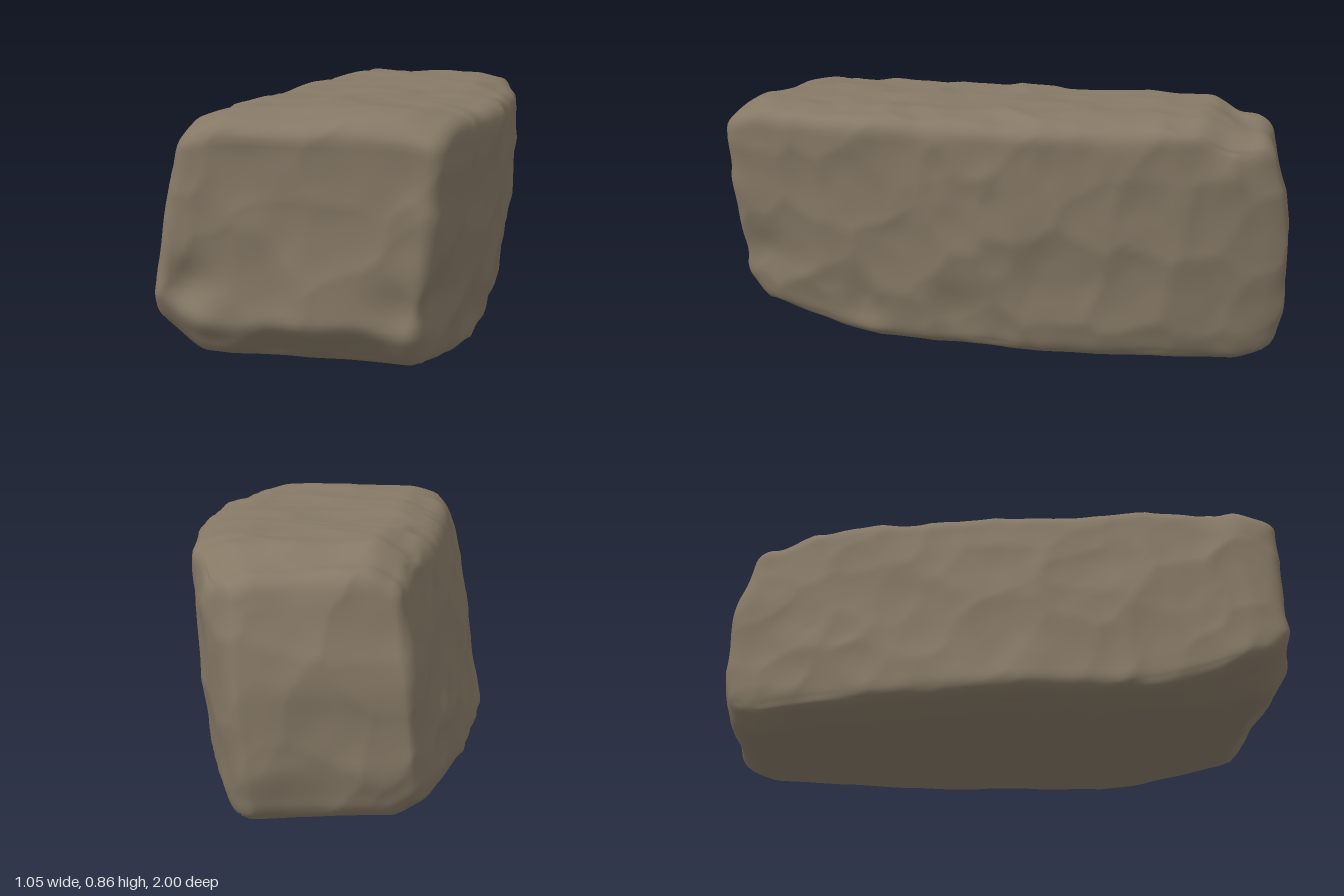
import * as THREE from 'three';
import { mergeVertices } from 'three/addons/utils/BufferGeometryUtils.js';

const SIZE = new THREE.Vector3(1.05, 0.835, 1.99);

// Side outlines along the length: z, left foot, left rim, right foot, right rim
const OUTLINE = [
  [-1.0, -0.29, -0.22, 0.23, 0.29],
  [-0.85, -0.335, -0.25, 0.29, 0.38],
  [-0.65, -0.39, -0.28, 0.35, 0.445],
  [-0.35, -0.465, -0.33, 0.40, 0.475],
  [-0.1, -0.52, -0.365, 0.425, 0.515],
  [0.1, -0.545, -0.38, 0.425, 0.505],
  [0.4, -0.55, -0.40, 0.41, 0.495],
  [0.6, -0.55, -0.415, 0.37, 0.465],
  [0.85, -0.55, -0.42, 0.33, 0.41],
  [1.0, -0.52, -0.40, 0.30, 0.38],
];

// Hollows (and bosses, with negative depth): x, y, z, radius, depth
const CHIPS = [
  [-0.41, 0.31, 1.0, 0.1, 0.04],
  [-0.34, 0.2, 1.0, 0.09, -0.015],
  [0.26, 0.26, 1.0, 0.1, 0.02],
  [0.35, 0.27, 0.86, 0.13, 0.025],
  [0.39, 0.12, 0.45, 0.1, 0.03],
  [0.41, 0.13, 0.1, 0.12, 0.025],
  [0.38, 0.8, -0.8, 0.1, 0.035],
  [0.25, 0.85, 0.35, 0.09, 0.02],
  [-0.44, 0.8, 0.8, 0.1, 0.025],
  [-0.28, 0.8, -0.7, 0.1, 0.02],
];

const { lerp, smoothstep, clamp } = THREE.MathUtils;

function outlineAt(z) {
  let i = 0;
  while (i < OUTLINE.length - 2 && z > OUTLINE[i + 1][0]) i++;
  const a = OUTLINE[i], b = OUTLINE[i + 1];
  const k = clamp((z - a[0]) / (b[0] - a[0]), 0, 1);
  return a.map((v, j) => lerp(v, b[j], k));
}

// Repeatable lattice noise in -1..1
function hash(x, y, z) {
  let h = Math.imul(x, 374761393) ^ Math.imul(y, 668265263) ^ Math.imul(z, 1274126177);
  h = Math.imul(h ^ (h >>> 13), 1103515245);
  return (((h ^ (h >>> 16)) >>> 0) / 4294967295) * 2 - 1;
}

function noise(x, y, z) {
  const i = Math.floor(x), j = Math.floor(y), k = Math.floor(z);
  const s = (t) => t * t * (3 - 2 * t);
  const u = s(x - i), v = s(y - j), w = s(z - k);
  const row = (b, c) => lerp(hash(i, b, c), hash(i + 1, b, c), u);
  const layer = (c) => lerp(row(j, c), row(j + 1, c), v);
  return lerp(layer(k), layer(k + 1), w);
}

// Squared distance to the nearest scattered point: scallops with sharp ridges
function scallop(x, y, z) {
  const i = Math.floor(x), j = Math.floor(y), k = Math.floor(z);
  let best = 9;
  for (let a = i - 1; a <= i + 1; a++)
    for (let b = j - 1; b <= j + 1; b++)
      for (let c = k - 1; c <= k + 1; c++) {
        const dx = a + 0.5 + 0.45 * hash(a, b, c) - x;
        const dy = b + 0.5 + 0.45 * hash(a + 57, b, c) - y;
        const dz = c + 0.5 + 0.45 * hash(a, b + 91, c) - z;
        best = Math.min(best, dx * dx + dy * dy + dz * dz);
      }
  return best;
}

// Broad bumps, scalloped fractures and fine roughness, centred on zero
function relief(p) {
  const warp = 0.4 * noise(p.x * 6, p.y * 6, p.z * 6);
  return 0.008 * noise(p.x * 3.5, p.y * 4, p.z * 4.5)
    + 0.024 * (scallop(p.x * 4 + warp, p.y * 4.5 + 0.3, p.z * 5 + warp) - 0.3)
    + 0.003 * noise(p.x * 11 + 3, p.y * 11, p.z * 14 + 7);
}

function shapeStone(geometry) {
  const half = SIZE.clone().multiplyScalar(0.5);
  const radius = 0.06;
  const max = half.clone().subScalar(radius), min = max.clone().negate();
  const pos = geometry.attributes.position;
  const p = new THREE.Vector3(), core = new THREE.Vector3(), out = new THREE.Vector3();

  for (let i = 0; i < pos.count; i++) {
    // Rounded block
    p.fromBufferAttribute(pos, i);
    core.copy(p).clamp(min, max);
    out.subVectors(p, core).normalize();
    p.copy(core).addScaledVector(out, radius);

    // Leaning, tapered sides
    const s = p.x / half.x, t = p.y / SIZE.y + 0.5, z = p.z;
    const [, lf, lr, rf, rr] = outlineAt(z);
    const bulge = 0.01 * Math.sin(Math.PI * t);
    p.x = lerp(lerp(lf, lr, t) - bulge, lerp(rf, rr, t) + bulge, (s + 1) / 2);

    // Lifted foot at the front, back and left; lowered rims all round
    const front = smoothstep(z, 0.45, 1);
    const lift = 0.07 * front + 0.03 * smoothstep(-z, 0.85, 1)
      + (0.05 + 0.05 * front) * smoothstep(-s, 0.6, 1);
    const drop = 0.06 * smoothstep(-z, 0.7, 0.92) + 0.035 * smoothstep(z, 0.82, 1)
      + 0.03 * smoothstep(s, 0.6, 1) + 0.04 * smoothstep(-s, 0.6, 1);
    p.y = t * SIZE.y + lift * (1 - t) - drop * t;

    // Slanted back end, rounded off above and below
    const back = smoothstep(-z, 0.5, 1);
    p.z += back * (0.05 * (0.5 - 0.5 * s) + 0.06 * smoothstep(t, 0.5, 1)
      + 0.035 * smoothstep(1 - t, 0.75, 1));

    // Undercut, wavy front foot
    const edge = 0.06 * noise(p.x * 8 + 1, 0.5, 0.5);
    p.z -= 0.08 * smoothstep(z, 0.7, 1) * smoothstep(1 - t + edge, 0.8, 1);

    // Rough surface, flatter underneath
    let d = relief(p) * (out.y < -0.7 ? 0.4 : 1);
    for (const [cx, cy, cz, r, depth] of CHIPS) {
      const q = Math.hypot(p.x - cx, p.y - cy, p.z - cz) / r;
      d -= depth * Math.exp(-q * q * 1.5);
    }
    p.addScaledVector(out, d);
    pos.setXYZ(i, p.x, p.y, p.z);
  }
}

export function createModel() {
  const group = new THREE.Group();
  group.name = 'rock';

  const stone = new THREE.MeshStandardMaterial({ color: 0x857865 });
  stone.name = 'brown stone';

  let geometry = new THREE.BoxGeometry(SIZE.x, SIZE.y, SIZE.z, 52, 44, 96);
  shapeStone(geometry);
  geometry.deleteAttribute('normal');
  geometry.deleteAttribute('uv');
  geometry.clearGroups();
  geometry = mergeVertices(geometry, 1e-5);

  // Centre it and stand it on the ground
  geometry.center();
  geometry.computeBoundingBox();
  geometry.translate(0, -geometry.boundingBox.min.y, 0);
  geometry.computeVertexNormals();

  const boulder = new THREE.Mesh(geometry, stone);
  boulder.name = 'boulder';
  group.add(boulder);
  return group;
}
